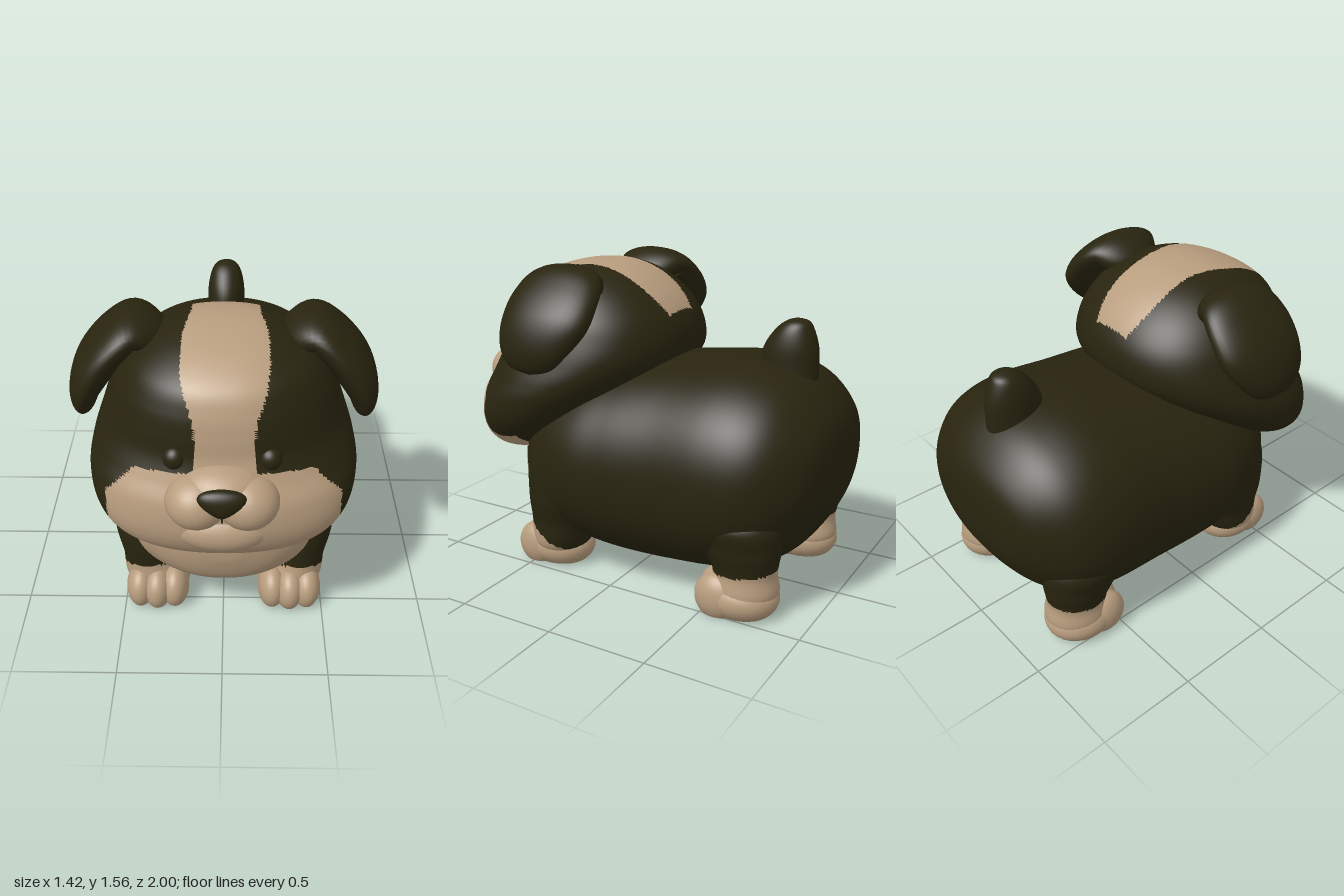
import * as THREE from 'three';
import { mergeVertices } from 'three/addons/utils/BufferGeometryUtils.js';

const V = (x, y, z) => new THREE.Vector3(x, y, z);

// Smooth (Catmull-Rom) interpolation through rows of numbers, u in 0..1
function sample(rows, u) {
  const f = u * (rows.length - 1);
  const i = Math.min(Math.floor(f), rows.length - 2), t = f - i;
  const at = k => rows[Math.max(0, Math.min(rows.length - 1, k))];
  return rows[0].map((_, k) => {
    const [a, b, c, d] = [at(i - 1)[k], at(i)[k], at(i + 1)[k], at(i + 2)[k]];
    return b + 0.5 * t * (c - a + t * (2 * a - 5 * b + 4 * c - d + t * (3 * (b - c) + d - a)));
  });
}

// Skin over superelliptic cross-sections; ring(row, u) gives centre and two half-axes
function loft(rows, ring, along, around, power = 2) {
  const pos = [], index = [], e = 2 / power;
  const sp = v => Math.sign(v) * Math.pow(Math.abs(v), e);
  for (let i = 0; i <= along; i++) {
    const u = i / along;
    const [c, a, b] = ring(sample(rows, u), u);
    for (let j = 0; j < around; j++) {
      const t = (j / around) * Math.PI * 2;
      const p = c.clone().addScaledVector(a, sp(Math.cos(t))).addScaledVector(b, sp(Math.sin(t)));
      pos.push(p.x, p.y, p.z);
      if (i < along) {
        const k = (j + 1) % around, p0 = i * around + j, p1 = i * around + k;
        index.push(p0, p1, p0 + around, p1, p1 + around, p0 + around);
      }
    }
  }
  const g = new THREE.BufferGeometry();
  g.setAttribute('position', new THREE.Float32BufferAttribute(pos, 3));
  g.setIndex(index);
  const merged = mergeVertices(g, 1e-5);
  merged.computeVertexNormals();
  return merged;
}

// Horizontal sections: y, centre x, half width, front z, back z
const upright = ([y, x, w, f, b]) => [V(x, y, (f + b) / 2), V(0, 0, (f - b) / 2), V(w, 0, 0)];

// Sort faces into two material groups; isLight judges each face centre
function paint(g, isLight) {
  const p = g.attributes.position, src = g.index.array, dark = [], light = [];
  for (let i = 0; i < src.length; i += 3) {
    const tri = [src[i], src[i + 1], src[i + 2]];
    const mean = get => tri.reduce((s, k) => s + get(k), 0) / 3;
    const hit = isLight(mean(k => p.getX(k)), mean(k => p.getY(k)), mean(k => p.getZ(k)));
    (hit ? light : dark).push(...tri);
  }
  g.setIndex([...dark, ...light]);
  g.addGroup(0, dark.length, 0);
  g.addGroup(dark.length, light.length, 1);
  return g;
}

// Reflected copy in x with corner order restored
function mirror(g) {
  const m = g.clone().scale(-1, 1, 1), a = m.index.array;
  for (let i = 0; i < a.length; i += 3) [a[i], a[i + 1]] = [a[i + 1], a[i]];
  m.computeVertexNormals();
  return m;
}

// Ellipsoid, optionally flattened on the ground
function blob(x, y, z, rx, ry, rz) {
  const g = new THREE.SphereGeometry(1, 28, 18).scale(rx, ry, rz).translate(x, y, z);
  const p = g.attributes.position;
  for (let i = 0; i < p.count; i++) p.setY(i, Math.max(0, p.getY(i)));
  return g;
}

export function createModel() {
  const model = new THREE.Group();
  model.name = 'puppy';
  const coat = new THREE.MeshStandardMaterial({ color: 0x28240f });
  coat.name = 'dark coat';
  const cream = new THREE.MeshStandardMaterial({ color: 0xb89d7e });
  cream.name = 'cream fur';
  const both = [coat, cream];
  const add = (name, g, mat) => {
    const m = new THREE.Mesh(g, mat);
    m.name = name;
    model.add(m);
  };
  const pair = (name, g, mat) => {
    add('left' + name, g, mat);
    add('right' + name, mirror(g), mat);
  };

  // Body, rump to chest: z, half width, top, bottom
  const body = loft([
    [-1, 0, 0.70, 0.70], [-0.99, 0.18, 0.84, 0.55], [-0.94, 0.37, 0.95, 0.41],
    [-0.83, 0.51, 1.06, 0.25], [-0.7, 0.585, 1.12, 0.16], [-0.52, 0.61, 1.145, 0.10],
    [-0.25, 0.60, 1.12, 0.07], [0, 0.605, 1.09, 0.065], [0.2, 0.60, 1.05, 0.085],
    [0.4, 0.54, 0.98, 0.13], [0.55, 0.42, 0.88, 0.20], [0.65, 0.28, 0.76, 0.29],
    [0.7, 0.12, 0.62, 0.42], [0.71, 0, 0.52, 0.52],
  ], ([z, w, t, b]) => [V(0, (t + b) / 2, z), V(w, 0, 0), V(0, (t - b) / 2, 0)], 130, 100, 2.2);
  add('body', paint(body, (x, y, z) => z > 0.54 - Math.max(0, 0.3 - y) * 0.8), both);

  // Head, chin to crown, with cream cheeks and blaze
  const head = loft([
    [0.545, 0, 0, 0.66, 0.66], [0.56, 0, 0.22, 0.76, 0.56], [0.60, 0, 0.40, 0.82, 0.48],
    [0.68, 0, 0.52, 0.875, 0.36], [0.78, 0, 0.59, 0.90, 0.20], [0.90, 0, 0.615, 0.89, 0.04],
    [1.0, 0, 0.60, 0.845, -0.08], [1.1, 0, 0.565, 0.81, -0.155], [1.2, 0, 0.53, 0.80, -0.165],
    [1.3, 0, 0.49, 0.78, -0.13], [1.4, 0, 0.42, 0.73, -0.05], [1.48, 0, 0.31, 0.61, 0.06],
    [1.53, 0, 0.17, 0.46, 0.19], [1.547, 0, 0, 0.33, 0.33],
  ], upright, 140, 170, 2.2);
  add('head', paint(head, (x, y, z) => {
    const ax = Math.abs(x - 0.005);
    const front = 0.53 + 0.15 * THREE.MathUtils.smoothstep(y, 0.68, 0.95);
    const top = 1.05 - 0.15 * ax * ax - 0.9 * Math.max(0, ax - 0.39);
    if (y < top && ax < 0.525 && z > front) return true;
    const blaze = 0.13 + 0.06 * THREE.MathUtils.smoothstep(y, 1.22, 1.47)
      - 0.035 * THREE.MathUtils.smoothstep(0.6 - z, 0.1, 0.4);
    return y > 1 && z > -0.12 && Math.abs(x - 0.01) < blaze;
  }), both);

  // Muzzle, lip, nose and mouth
  pair('Jowl', blob(0.11, 0.925, 0.84, 0.14, 0.125, 0.14), cream);
  add('muzzleBridge', blob(0, 0.98, 0.80, 0.19, 0.11, 0.15), cream);
  add('lowerLip', blob(0, 0.76, 0.82, 0.22, 0.11, 0.115), cream);
  const nose = new THREE.SphereGeometry(1, 32, 20);
  const np = nose.attributes.position;
  for (let i = 0; i < np.count; i++) np.setX(i, np.getX(i) * (0.85 + 0.45 * np.getY(i)));
  nose.scale(0.11, 0.07, 0.046).translate(0, 0.99, 0.95);
  nose.computeVertexNormals();
  add('nose', nose, coat);
  add('mouthLine', new THREE.BoxGeometry(0.008, 0.07, 0.009).translate(0, 0.905, 0.926), coat);
  pair('Eye', blob(0.205, 1.095, 0.765, 0.052, 0.055, 0.05), coat);

  // Folded ears: x, y, z, half width, half thickness
  const earRows = [
    [0.27, 1.36, 0.29, 0, 0], [0.31, 1.41, 0.28, 0.13, 0.08], [0.40, 1.475, 0.28, 0.20, 0.085],
    [0.50, 1.41, 0.28, 0.235, 0.09], [0.585, 1.30, 0.285, 0.235, 0.095],
    [0.635, 1.19, 0.31, 0.19, 0.075], [0.645, 1.10, 0.33, 0.115, 0.045], [0.65, 1.07, 0.33, 0, 0],
  ];
  pair('Ear', loft(earRows, ([x, y, z, w, t], u) => {
    const a = sample(earRows, Math.max(0, u - 0.04)), b = sample(earRows, Math.min(1, u + 0.04));
    const n = V(b[1] - a[1], a[0] - b[0], 0).normalize();
    return [V(x, y, z), V(0, 0, w), n.multiplyScalar(t)];
  }, 48, 40), coat);

  // Tail
  add('tail', loft([
    [0.98, 0, 0.10, -0.56, -0.84], [1.1, 0, 0.10, -0.55, -0.84], [1.2, 0, 0.098, -0.575, -0.835],
    [1.28, 0, 0.08, -0.63, -0.81], [1.32, 0, 0.05, -0.68, -0.785], [1.335, 0, 0, -0.73, -0.73],
  ], upright, 30, 32), coat);

  // Legs with cream ankles
  const frontLeg = loft([
    [0.04, 0.35, 0, 0.38, 0.38], [0.1, 0.35, 0.14, 0.53, 0.25], [0.25, 0.385, 0.13, 0.53, 0.20],
    [0.4, 0.40, 0.15, 0.53, 0.13], [0.6, 0.39, 0.165, 0.52, 0.08], [0.75, 0.36, 0.13, 0.45, 0.1],
    [0.82, 0.33, 0, 0.28, 0.28],
  ], upright, 50, 48);
  pair('FrontLeg', paint(frontLeg, (x, y, z) => y < Math.min(0.24, 0.1 + (z - 0.28) * 0.58)), both);
  const backLeg = loft([
    [0.04, 0.38, 0, -0.68, -0.68], [0.1, 0.38, 0.14, -0.52, -0.83], [0.22, 0.385, 0.135, -0.52, -0.83],
    [0.35, 0.395, 0.155, -0.46, -0.85], [0.5, 0.38, 0.17, -0.44, -0.84], [0.65, 0.3, 0, -0.64, -0.64],
  ], upright, 50, 48);
  pair('BackLeg', paint(backLeg, (x, y, z) => y < 0.2 - (z + 0.5) * 0.13), both);

  // Paws with three toes each
  for (const [name, x, z] of [['Front', 0.335, 0.42], ['Back', 0.385, -0.65]]) {
    pair(name + 'Paw', blob(x, 0.085, z - 0.01, 0.16, 0.12, 0.185), cream);
    for (const k of [-1, 0, 1]) {
      const toe = blob(x + k * 0.087, 0.09, z + 0.09 - Math.abs(k) * 0.015, 0.072, 0.115, 0.112);
      pair(name + 'Toe' + (k + 2), toe, cream);
    }
  }
  return model;
}
